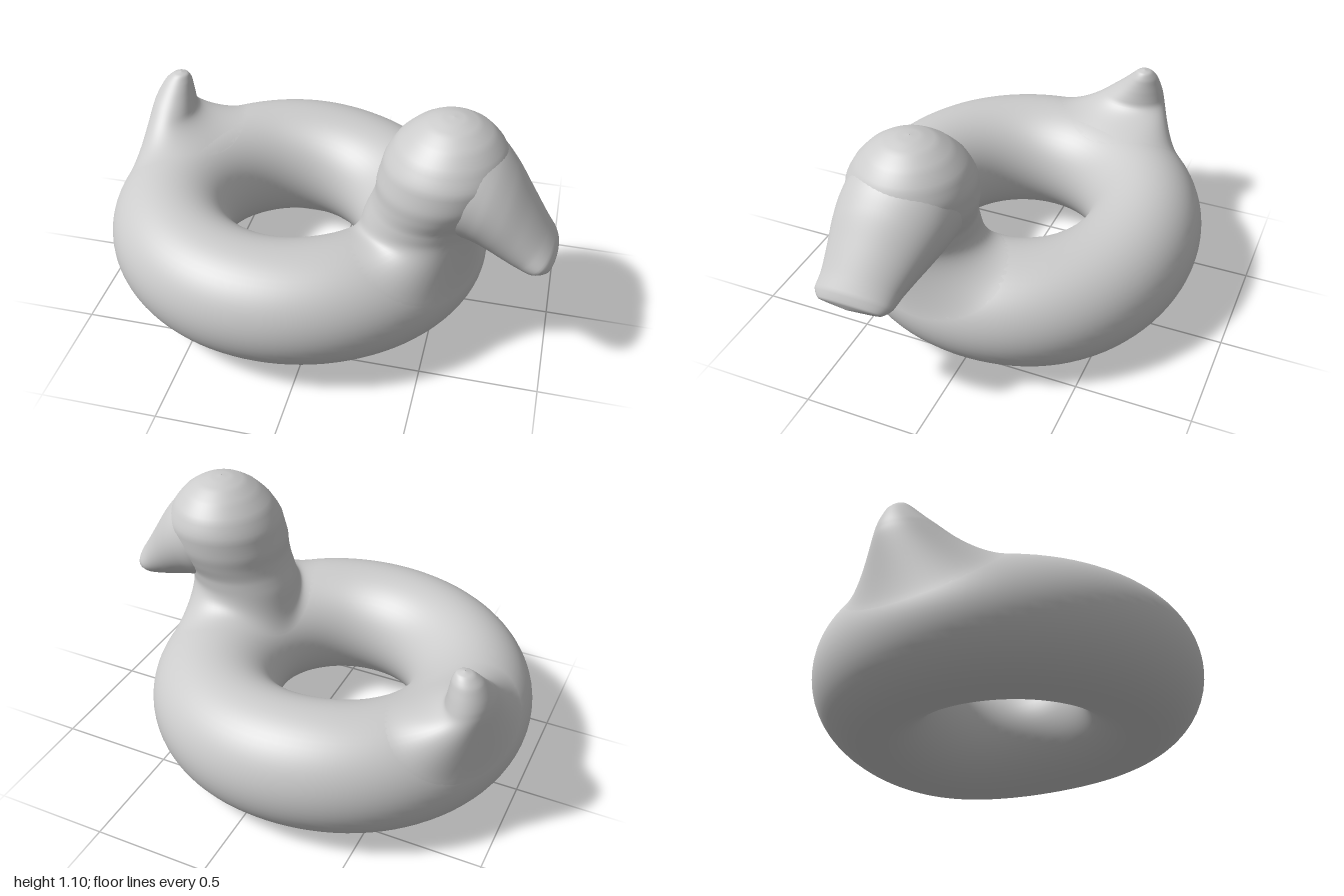
import * as THREE from 'three';

const V = (x, y, z) => new THREE.Vector3(x, y, z);
const material = new THREE.MeshStandardMaterial({ color: 0xcccccc, side: THREE.DoubleSide });
const SIDES = 56;
const angles = Array.from({ length: SIDES }, (_, j) => (j / SIDES) * Math.PI * 2);

// Smooth skin over rows of points, each row being a closed loop
function skin(name, rows, closed = false) {
  const index = [];
  for (let i = 0; i < (closed ? rows.length : rows.length - 1); i++) {
    for (let j = 0; j < SIDES; j++) {
      const k = (j + 1) % SIDES, next = ((i + 1) % rows.length) * SIDES;
      const p = i * SIDES + j, q = i * SIDES + k;
      index.push(p, q, next + k, p, next + k, next + j);
    }
  }
  const geometry = new THREE.BufferGeometry().setFromPoints(rows.flat());
  geometry.setIndex(index);
  geometry.computeVertexNormals();
  const mesh = new THREE.Mesh(geometry, material);
  mesh.name = name;
  return mesh;
}

// Rows through elliptical sections { c: centre, u, v: half axes }, u x v pointing along the path
function loftRows(sections, steps) {
  const [c, u, v] = ['c', 'u', 'v'].map(
    (key) => new THREE.CatmullRomCurve3(sections.map((s) => s[key])));
  return Array.from({ length: steps + 1 }, (_, i) => {
    const t = i / steps;
    const centre = c.getPoint(t), up = u.getPoint(t), across = v.getPoint(t);
    return angles.map((a) => centre.clone()
      .addScaledVector(up, Math.cos(a))
      .addScaledVector(across, Math.sin(a)));
  });
}

// Horizontal oval: height, centre x, centre z, half width x, half depth z
const oval = ([y, x, z, rx, rz]) => ({ c: V(x, y, z), u: V(0, 0, rz), v: V(rx, 0, 0) });

// Beak slice: top (x, y), bottom (x, y), centre z, half width
const slice = ([tx, ty, bx, by, z, w]) => ({
  c: V((tx + bx) / 2, (ty + by) / 2, z),
  u: V((tx - bx) / 2, (ty - by) / 2, 0),
  v: V(0, 0, w),
});

// Point on the inflated ring: a runs around it, b around the tube (0 top, positive outward)
function ringPoint(a, b) {
  const x = Math.cos(a), z = -Math.sin(a);
  const outer = 1 / Math.hypot(x / 0.85, z / 0.81), inner = 0.29 - 0.02 * x;
  const top = 0.585 - 0.055 * Math.max(0, Math.cos(a - 0.4)) ** 2;
  const bottom = 0.045 + 0.015 * z - 0.036 * Math.max(0, Math.cos(a - 0.65)) ** 4;
  const r = (outer + inner) / 2 + ((outer - inner) / 2) * Math.sin(b);
  const y = (top + bottom) / 2 + ((top - bottom) / 2) * Math.cos(b);
  return V(-0.15 + r * x, y, r * z);
}

// Fillet rows leaving the ring tangentially around (a0, b0) and joining the first loft row
function skirtRows(rows, { a0, b0, da, db, lift }) {
  const onRing = (angle, k) => ringPoint(
    a0 - k * da * Math.cos(angle - a0), b0 + k * db * Math.sin(angle - a0));
  const curves = angles.map((angle, j) => {
    const base = onRing(angle, 1), end = rows[0][j];
    const slope = onRing(angle, 0.98).sub(base).multiplyScalar(50);
    const drop = end.clone().sub(rows[1][j]);
    return new THREE.CubicBezierCurve3(
      base, base.clone().addScaledVector(slope, 0.25), end.clone().addScaledVector(drop, lift), end);
  });
  return Array.from({ length: 16 }, (_, i) => curves.map((curve) => curve.getPoint(i / 16)));
}

export function createModel() {
  const model = new THREE.Group();
  model.name = 'duckSwimRing';

  // Inflated ring
  const ringRows = Array.from({ length: 96 }, (_, i) =>
    angles.map((b) => ringPoint((i / 96) * Math.PI * 2, b)));
  model.add(skin('swimRing', ringRows, true));

  // Neck swelling into a round head
  const head = loftRows([
    [0.64, 0.440, 0.213, 0.240, 0.236],
    [0.69, 0.458, 0.214, 0.238, 0.238],
    [0.75, 0.485, 0.213, 0.247, 0.253],
    [0.82, 0.508, 0.210, 0.262, 0.265],
    [0.90, 0.523, 0.205, 0.257, 0.262],
    [0.98, 0.530, 0.200, 0.220, 0.225],
    [1.04, 0.535, 0.200, 0.165, 0.170],
    [1.08, 0.535, 0.200, 0.105, 0.108],
    [1.098, 0.535, 0.200, 0.050, 0.050],
    [1.103, 0.535, 0.200, 0.001, 0.001],
  ].map(oval), 45);
  const neck = skirtRows(head, { a0: -0.34, b0: 0.25, da: 0.62, db: 1.25, lift: 6 });
  model.add(skin('neckAndHead', [...neck, ...head]));

  // Broad beak growing out of the forehead and sloping to a blunt tip
  model.add(skin('beak', loftRows([
    [0.58, 1.05, 0.47, 0.64, 0.205, 0.215],
    [0.66, 1.04, 0.54, 0.61, 0.205, 0.245],
    [0.74, 0.985, 0.63, 0.595, 0.212, 0.238],
    [0.81, 0.905, 0.70, 0.57, 0.225, 0.219],
    [0.88, 0.80, 0.76, 0.545, 0.24, 0.195],
    [0.945, 0.70, 0.82, 0.525, 0.255, 0.175],
    [0.985, 0.64, 0.88, 0.515, 0.265, 0.168],
    [1.0, 0.60, 0.94, 0.525, 0.265, 0.135],
    [0.988, 0.562, 0.986, 0.561, 0.265, 0.002],
  ].map(slice), 48)));

  // Upturned pointed tail
  const tail = loftRows([
    [0.66, -0.835, -0.295, 0.100, 0.145],
    [0.69, -0.835, -0.309, 0.093, 0.124],
    [0.72, -0.832, -0.322, 0.084, 0.102],
    [0.75, -0.827, -0.332, 0.073, 0.081],
    [0.78, -0.820, -0.340, 0.060, 0.060],
    [0.81, -0.810, -0.342, 0.035, 0.033],
    [0.82, -0.808, -0.342, 0.001, 0.001],
  ].map(oval), 24);
  const rump = skirtRows(tail, { a0: 2.75, b0: 0.45, da: 0.5, db: 1.05, lift: 7 });
  model.add(skin('tail', [...rump, ...tail]));

  return model;
}
